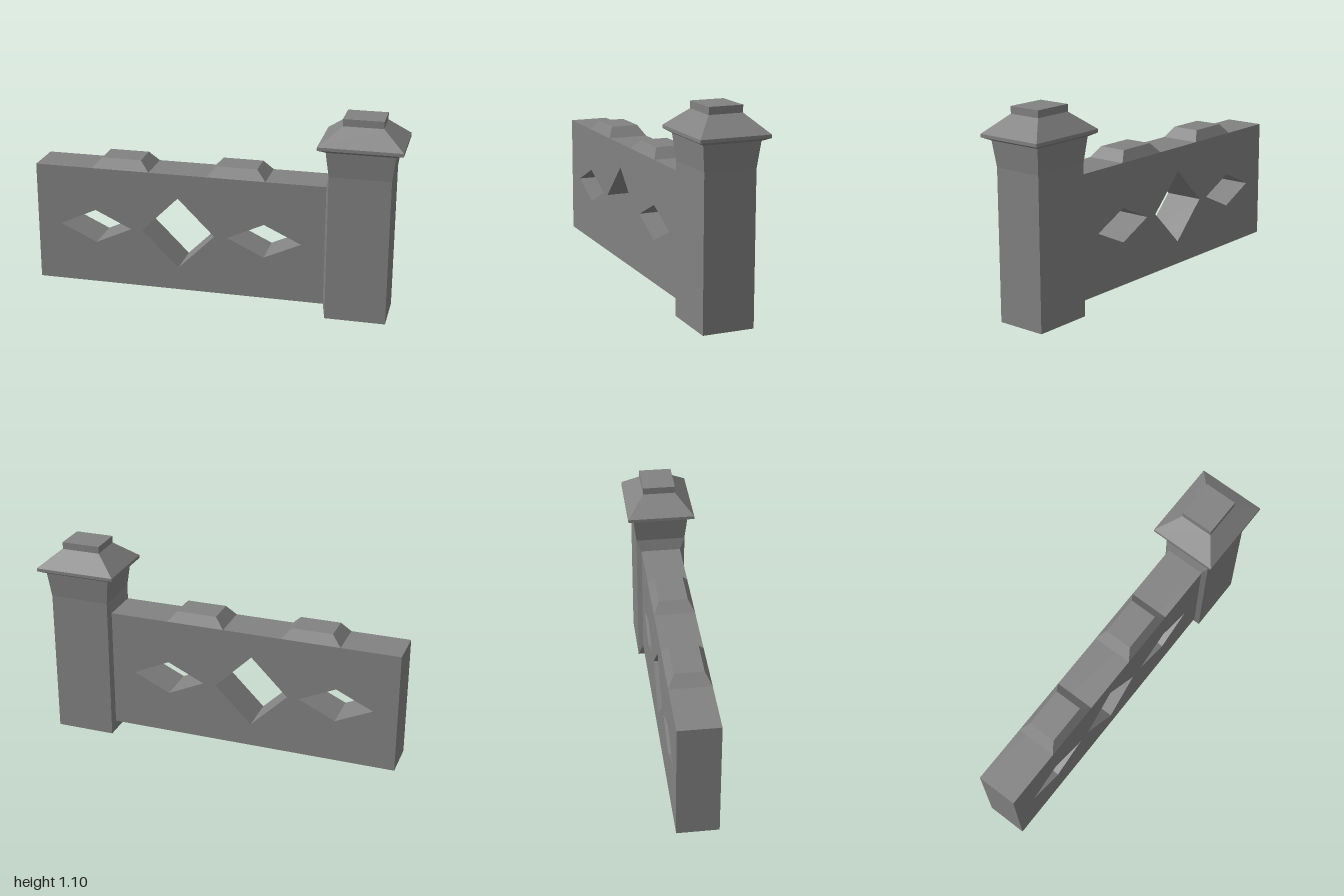
import * as THREE from 'three';
import { ConvexGeometry } from 'three/addons/geometries/ConvexGeometry.js';

const material = new THREE.MeshStandardMaterial({ color: 0x828282, flatShading: true });

function addPart(parent, name, geometry, x = 0, y = 0, z = 0) {
  const mesh = new THREE.Mesh(geometry, material);
  mesh.name = name;
  mesh.position.set(x, y, z);
  parent.add(mesh);
}

// Closed stack of rectangles, each given as [y, half width, half depth], bottom to top
function rectLoft(levels) {
  const positions = [];
  const rings = levels.map(([y, w, d]) => [[-w, y, d], [w, y, d], [w, y, -d], [-w, y, -d]]);
  const quad = (a, b, c, d) => positions.push(...a, ...b, ...c, ...a, ...c, ...d);
  for (let i = 0; i < rings.length - 1; i++) {
    for (let k = 0; k < 4; k++) {
      const n = (k + 1) % 4;
      quad(rings[i][k], rings[i][n], rings[i + 1][n], rings[i + 1][k]);
    }
  }
  const [bottom, top] = [rings[0], rings[rings.length - 1]];
  quad(bottom[3], bottom[2], bottom[1], bottom[0]);
  quad(...top);
  const geometry = new THREE.BufferGeometry();
  geometry.setAttribute('position', new THREE.Float32BufferAttribute(positions, 3));
  geometry.computeVertexNormals();
  return geometry;
}

export function createModel() {
  const group = new THREE.Group();
  const left = -1, right = 0.602, base = 0.071, top = 0.735, half = 0.11;

  // Wall panel pierced by three diamonds
  const panel = new THREE.Shape([
    new THREE.Vector2(left, base), new THREE.Vector2(right, base),
    new THREE.Vector2(right, top), new THREE.Vector2(left, top),
  ]);
  for (const [x, w, h] of [[-0.667, 0.202, 0.094], [-0.2, 0.202, 0.201], [0.274, 0.202, 0.094]]) {
    panel.holes.push(new THREE.Path([
      new THREE.Vector2(x - w, 0.4), new THREE.Vector2(x, 0.4 + h),
      new THREE.Vector2(x + w, 0.4), new THREE.Vector2(x, 0.4 - h),
    ]));
  }
  addPart(group, 'wallPanel',
    new THREE.ExtrudeGeometry(panel, { depth: half * 2, bevelEnabled: false }), 0, 0, -half);

  // Bevelled blocks on the wall top
  for (const x of [-0.521, 0.119]) {
    addPart(group, 'copingBlock', rectLoft([[0, 0.16, half], [0.055, 0.109, 0.077]]), x, top);
  }

  // Post with flared neck
  const postX = 0.779;
  addPart(group, 'post', rectLoft([[0, 0.163, 0.137], [0.8, 0.163, 0.137], [0.936, 0.18, 0.152]]), postX);

  // Cap: undercut, thin rim, sloped roof and square top
  addPart(group, 'postCap', rectLoft([
    [0.936, 0.18, 0.152], [0.954, 0.221, 0.185], [0.971, 0.221, 0.185],
    [1.064, 0.106, 0.09], [1.102, 0.106, 0.09],
  ]), postX);

  // Shallow wedge easing the wall end into the post
  const corners = [];
  for (const s of [-1, 1]) {
    for (const y of [base, top]) corners.push(new THREE.Vector3(right, y, s * half));
    for (const y of [0, 0.8]) corners.push(new THREE.Vector3(postX - 0.163, y, s * 0.137));
  }
  addPart(group, 'wallJoint', new ConvexGeometry(corners));

  return group;
}
